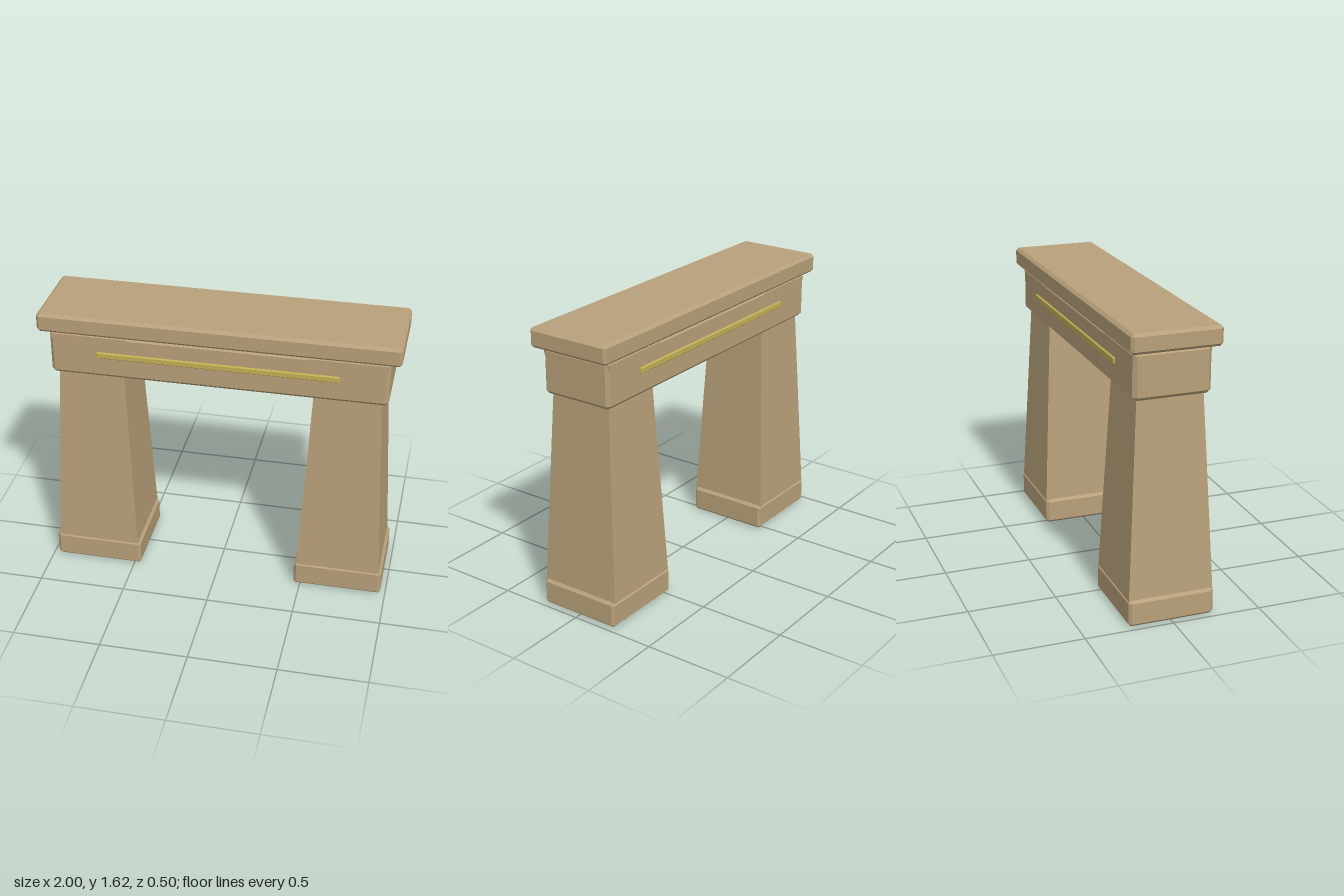
import * as THREE from 'three';
import { ConvexGeometry } from 'three/addons/geometries/ConvexGeometry.js';

const stone = new THREE.MeshStandardMaterial({ color: 0xb8a07a });
stone.name = 'sandstone';
const gold = new THREE.MeshStandardMaterial({ color: 0xc4b055 });
gold.name = 'dull gold';

// Box with every edge and corner cut by c
function chamferBox(w, h, d, c) {
  const points = [];
  for (const sx of [-1, 1]) for (const sy of [-1, 1]) for (const sz of [-1, 1]) {
    const x = w / 2, y = h / 2, z = d / 2;
    points.push(
      new THREE.Vector3(sx * x, sy * (y - c), sz * (z - c)),
      new THREE.Vector3(sx * (x - c), sy * y, sz * (z - c)),
      new THREE.Vector3(sx * (x - c), sy * (y - c), sz * z));
  }
  return new ConvexGeometry(points);
}

// Square tapered block with half widths at bottom and top
function taperedBlock(bottom, top, height) {
  const geometry = new THREE.BoxGeometry(2, height, 2);
  const p = geometry.attributes.position;
  for (let i = 0; i < p.count; i++) {
    const half = p.getY(i) > 0 ? top : bottom;
    p.setX(i, p.getX(i) * half);
    p.setZ(i, p.getZ(i) * half);
  }
  geometry.computeVertexNormals();
  return geometry;
}

export function createModel() {
  const group = new THREE.Group();
  group.name = 'stoneGateway';

  const add = (parent, name, geometry, material, x, y, z) => {
    const mesh = new THREE.Mesh(geometry, material);
    mesh.name = name;
    mesh.position.set(x, y, z);
    parent.add(mesh);
  };

  // Two pillars: plinth, tapering shaft, and flared capital set into the lintel
  const plinth = chamferBox(0.51, 0.15, 0.486, 0.015);
  const shaft = taperedBlock(0.24, 0.185, 1.11);
  const capital = taperedBlock(0.185, 0.215, 0.245);
  for (const side of [-1, 1]) {
    const pillar = new THREE.Group();
    pillar.name = side > 0 ? 'leftPillar' : 'rightPillar';
    pillar.position.x = side * 0.716;
    add(pillar, 'plinth', plinth, stone, 0, 0.075, 0);
    add(pillar, 'shaft', shaft, stone, 0, 0.7, 0);
    add(pillar, 'capital', capital, stone, 0, 1.3725, 0);
    group.add(pillar);
  }

  // Lintel and cap slab
  add(group, 'lintel', chamferBox(1.88, 0.26, 0.43, 0.02), stone, 0, 1.38, 0);
  add(group, 'capSlab', chamferBox(2, 0.11, 0.5, 0.016), stone, 0, 1.57, 0);

  // Gold inlay strips on both faces
  const strip = chamferBox(1.35, 0.036, 0.03, 0.005);
  add(group, 'frontInlay', strip, gold, 0, 1.39, 0.21);
  add(group, 'backInlay', strip, gold, 0, 1.39, -0.21);

  return group;
}
